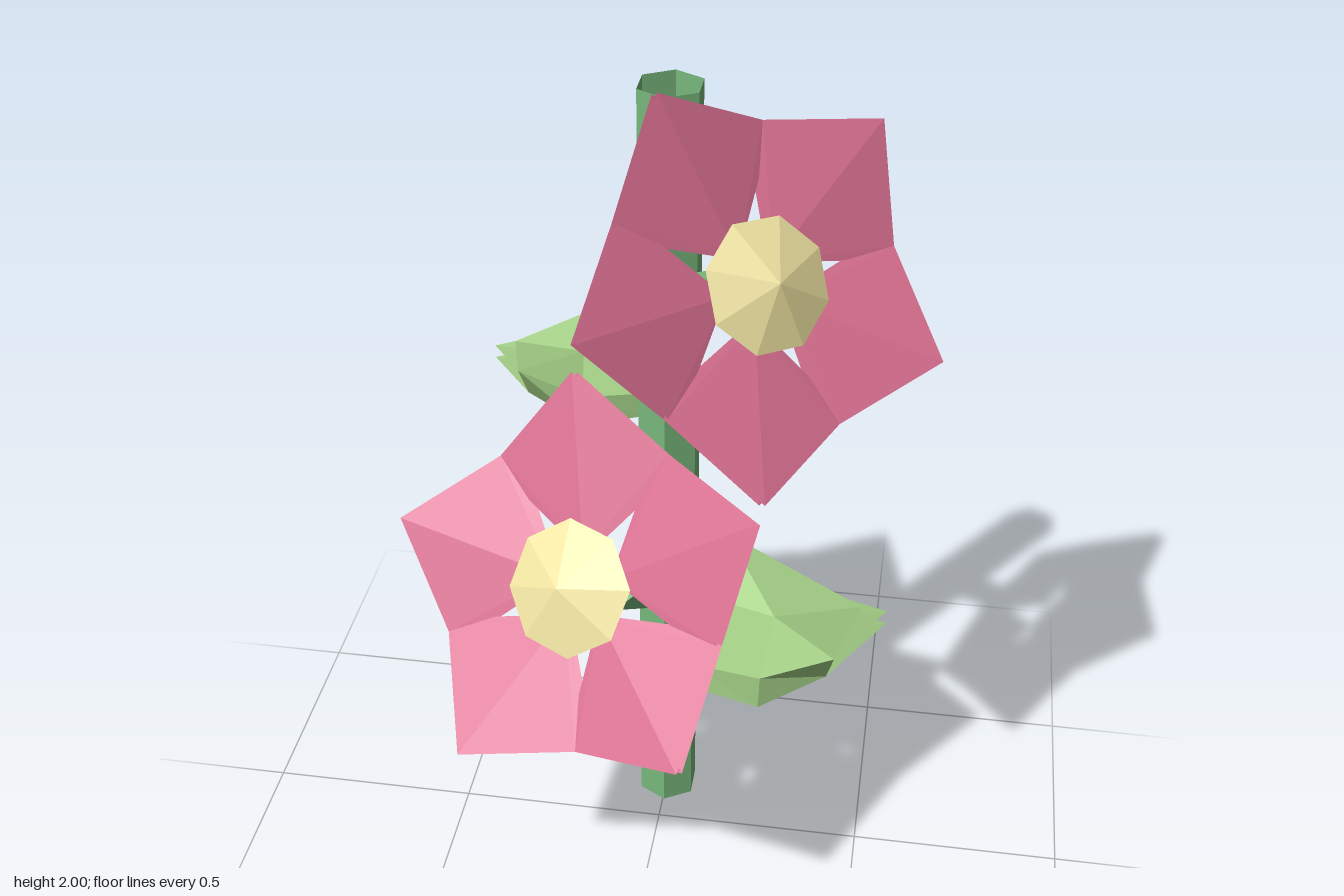
import * as THREE from 'three';

const material = (color) =>
  new THREE.MeshStandardMaterial({ color, flatShading: true, side: THREE.DoubleSide });
const stemGreen = material(0x78b87c);
const leafGreen = material(0xa6d288);
const pink = material(0xd96f90);
const yellow = material(0xf0e4a2);

const STEM_Z = -0.135;

function part(name, geometry, mat, parent) {
  const mesh = new THREE.Mesh(geometry, mat);
  mesh.name = name;
  parent.add(mesh);
  return mesh;
}

function facets(triangles) {
  const geometry = new THREE.BufferGeometry();
  geometry.setAttribute('position', new THREE.Float32BufferAttribute(triangles.flat(2), 3));
  geometry.computeVertexNormals();
  return geometry;
}

// Petal of two close sheets: a narrow foot, two side corners and an outer point
function petalGeometry() {
  const at = (radius, degrees, z) => {
    const a = THREE.MathUtils.degToRad(degrees);
    return [radius * Math.sin(a), radius * Math.cos(a), z];
  };
  const front = [
    at(0.07, 0, -0.06), at(0.22, 36, -0.055), at(0.335, 36, -0.045),
    at(0.44, 0, 0), at(0.335, -36, -0.045), at(0.22, -36, -0.055),
  ];
  const back = front.map(([x, y, z]) => [x, y, z - 0.024]);
  const triangles = [];
  for (let i = 1; i < front.length - 1; i++) {
    triangles.push([front[0], front[i + 1], front[i]], [back[0], back[i], back[i + 1]]);
  }
  return facets(triangles);
}

// Branch, five petals and a faceted centre, all set along local +z
function createFlower(name, position, normal, up, scale) {
  const flower = new THREE.Group();
  flower.name = name;
  const n = new THREE.Vector3(...normal).normalize();
  const side = new THREE.Vector3(...up).cross(n).normalize();
  const top = n.clone().cross(side);
  flower.quaternion.setFromRotationMatrix(new THREE.Matrix4().makeBasis(side, top, n));
  flower.position.set(...position);
  flower.scale.setScalar(scale);

  const branch = new THREE.CylinderGeometry(0.05, 0.05, 0.23, 5).rotateX(Math.PI / 2);
  part('branch', branch, stemGreen, flower).position.z = 0.115;

  const petal = petalGeometry();
  for (let i = 0; i < 5; i++) {
    const mesh = part('petal', petal, pink, flower);
    mesh.position.z = 0.43;
    mesh.rotation.z = (i * Math.PI * 2) / 5;
  }

  const centre = new THREE.ConeGeometry(0.143, 0.05, 8).rotateX(Math.PI / 2);
  part('flowerCentre', centre, yellow, flower).position.z = 0.448;
  return flower;
}

// Closed leaf outline along +z, from the base round the tip and back
function leafOutline(half, tip) {
  return [...half, tip, ...half.map(([x, y, z]) => [-x, y, z]).reverse()];
}

// Triangles from a middle point to each edge of an outline
function fan(middle, loop) {
  return loop.map((p, i) => [middle, p, loop[(i + 1) % loop.length]]);
}

// Cupped leaf: a wide top sheet over a pair of longer sheets, joined along the base sides
function createLeaf(name, y, axisX, axisZ, scale) {
  const leaf = new THREE.Group();
  leaf.name = name;
  const upper = leafOutline(
    [[0.06, 0.42, 0.04], [0.19, 0.43, 0.16], [0.285, 0.51, 0.31]], [0, 0.385, 0.56]);
  const lower = leafOutline(
    [[0.06, 0.345, 0.04], [0.185, 0.335, 0.16], [0.22, 0.4, 0.33]], [0, 0.303, 0.64]);
  const topSheet = fan([0, 0.44, 0.3], upper).map(([a, b, c]) => [a, c, b]);
  const underside = facets(fan([0, 0.385, 0.3], lower));
  part('leafTop', facets(topSheet), leafGreen, leaf);
  part('leafUnderside', underside, leafGreen, leaf);
  part('leafMiddle', underside, leafGreen, leaf).position.y = 0.04;

  const sides = [];
  for (const i of [0, 1, 4, 5]) {
    sides.push([lower[i], upper[i], upper[i + 1]], [lower[i], upper[i + 1], lower[i + 1]]);
  }
  part('leafSides', facets(sides), leafGreen, leaf);

  leaf.position.set(0, y, STEM_Z);
  leaf.rotation.y = Math.atan2(axisX, axisZ);
  leaf.scale.setScalar(scale);
  return leaf;
}

export function createModel() {
  const model = new THREE.Group();
  model.name = 'floweringStem';

  // Hollow six-sided stem
  const stem = new THREE.CylinderGeometry(0.075, 0.075, 1.93, 6, 1, true);
  part('stem', stem, stemGreen, model).position.set(0.003, 0.965, STEM_Z);

  model.add(
    createFlower('upperFlower', [0.012, 1.428, -0.14], [0.55, 0.49, 0.68], [-0.24, 0.363, -0.07], 1),
    createFlower('lowerFlower', [0, 0.645, -0.13], [-0.36, 0.52, 0.775], [-0.034, 0.394, -0.28], 1.09),
    createLeaf('lowerLeaf', 0, 0.83, -0.56, 1),
    createLeaf('upperLeaf', 0.862, -0.89, -0.45, 0.8),
  );
  return model;
}
